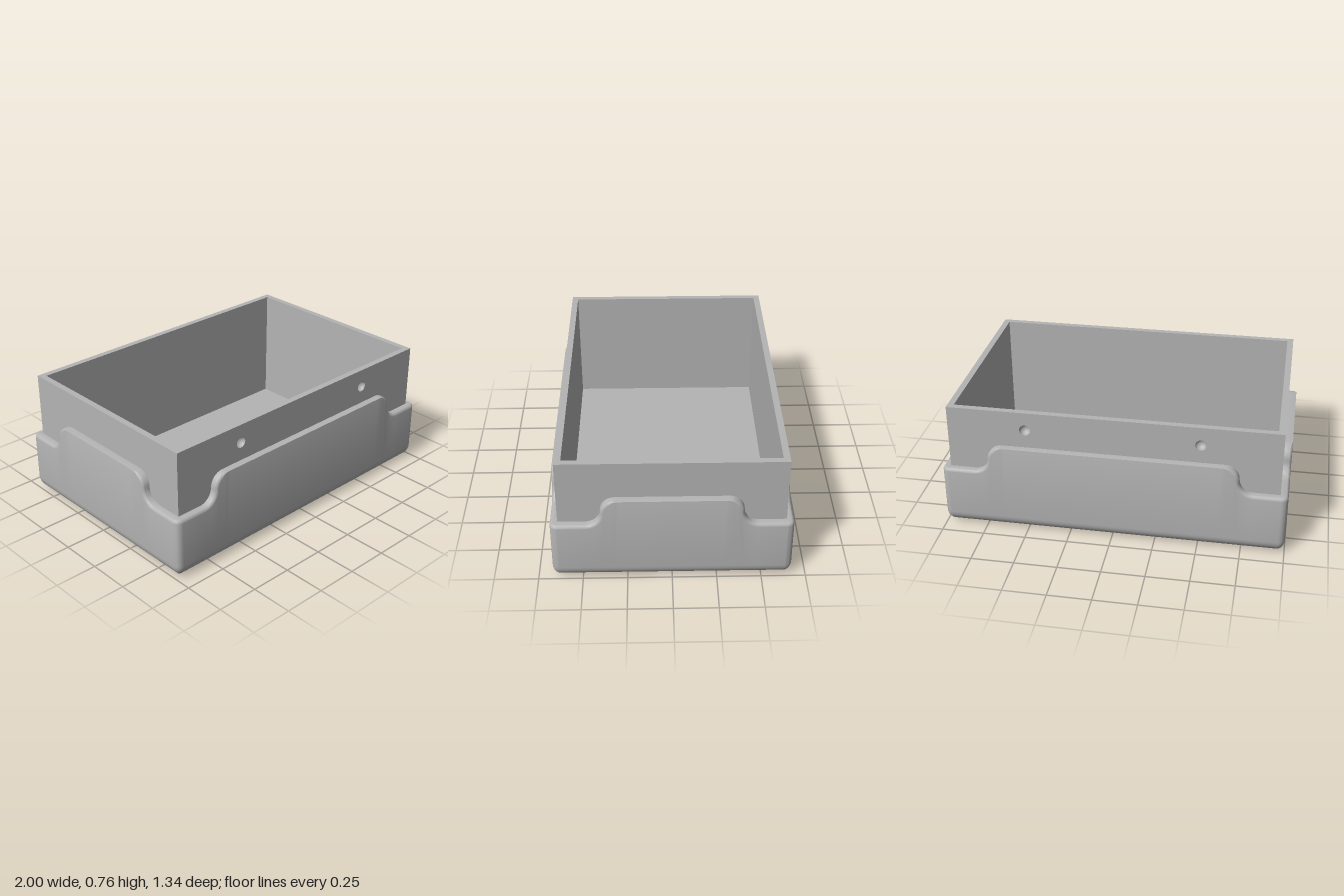
import * as THREE from 'three';
import { toCreasedNormals } from 'three/addons/utils/BufferGeometryUtils.js';

const W = 1, D = 0.67;            // half width and half depth of the outer sleeve
const LOW = 0.375, HIGH = 0.54;   // rim height at the corners and in the middle
const R = 0.04, BOTTOM = 0.08, FILLET = 0.02, LIP = 0.046;
const BW = 0.955, BD = 0.628, TOP = 0.76, WALL = 0.037, FLOOR = 0.05;

// Rim samples along one side: a flat middle with an S-curve down at both ends
function rimSamples(half) {
  const r = (HIGH - LOW) / 2, tc = half - 0.36, mid = (HIGH + LOW) / 2, n = 10;
  const right = [{ t: tc - 0.02, h: HIGH, nt: 0, nh: 1, f: 0 }];
  for (let i = 0; i <= n; i++) {
    const a = (1 - i / n) * Math.PI / 2, c = Math.cos(a), s = Math.sin(a);
    right.push({ t: tc + r * c, h: mid + r * s, nt: c, nh: s, f: FILLET * Math.min(1, 0.1 + i / 4) });
  }
  for (let i = 1; i <= n; i++) {
    const b = i / n * Math.PI / 2, c = Math.cos(b), s = Math.sin(b);
    right.push({ t: tc + 2 * r - r * c, h: mid - r * s, nt: c, nh: s, f: FILLET });
  }
  const left = right.map(p => ({ ...p, t: -p.t, nt: -p.nt })).reverse();
  return [...left, ...right];
}

// Sleeve: cross-sections from the base centre, up the wall, over the rim to the box
function sleeveGeometry() {
  const columns = [];
  for (let k = 0; k < 4; k++) {
    const L = k % 2 ? D : W;
    rimSamples(L).forEach(p => columns.push({ ...p, k }));
    for (let i = 0; i <= 6; i++) {
      columns.push({ k, angle: i / 6 * Math.PI / 2, h: LOW, nt: 0, nh: 1, f: FILLET });
    }
  }

  // Point on a column, moved inwards by inset and along the wall by shift
  const place = (c, inset, y, shift = 0) => {
    const [L, M] = c.k % 2 ? [D, W] : [W, D];
    const r = Math.max(R - inset, 0.001), end = L - inset - r;
    let u, n;
    if (c.angle === undefined) {
      u = THREE.MathUtils.clamp(c.t + shift, -end, end);
      n = M - inset;
    } else {
      u = end + r * Math.sin(c.angle);
      n = M - inset - r + r * Math.cos(c.angle);
    }
    const a = c.k * Math.PI / 2;
    return [n * Math.sin(a) + u * Math.cos(a), y, n * Math.cos(a) - u * Math.sin(a)];
  };

  const rows = [() => [0, 0, 0]];
  for (let i = 0; i <= 8; i++) {
    const a = i / 8 * Math.PI / 2;
    rows.push(c => place(c, BOTTOM * (1 - Math.sin(a)), BOTTOM * (1 - Math.cos(a))));
  }
  for (let i = 0; i <= 5; i++) {
    const a = i / 5 * Math.PI / 2;
    rows.push(c => {
      const drop = c.f * (1 - Math.sin(a));
      return place(c, c.f * (1 - Math.cos(a)), c.h - c.nh * drop, -c.nt * drop);
    });
  }
  rows.push(c => place(c, LIP, c.h));

  const positions = [], index = [], N = columns.length;
  rows.forEach(row => columns.forEach(c => positions.push(...row(c))));
  for (let j = 0; j < rows.length - 1; j++) {
    for (let i = 0; i < N; i++) {
      const a = j * N + i, b = j * N + (i + 1) % N;
      if (j > 0) index.push(a, b, b + N);
      index.push(a, b + N, a + N);
    }
  }
  const geometry = new THREE.BufferGeometry();
  geometry.setAttribute('position', new THREE.Float32BufferAttribute(positions, 3));
  geometry.setIndex(index);
  return toCreasedNormals(geometry, 0.6);
}

export function createModel() {
  const model = new THREE.Group();
  model.name = 'openBox';
  const grey = new THREE.MeshStandardMaterial({ color: 0xb4b4b4, side: THREE.DoubleSide });
  grey.name = 'grey';

  const add = (parent, name, geometry, x = 0, y = 0, z = 0) => {
    const mesh = new THREE.Mesh(geometry, grey);
    mesh.name = name;
    mesh.position.set(x, y, z);
    parent.add(mesh);
    return mesh;
  };

  add(model, 'outerSleeve', sleeveGeometry());

  // Inner box: floor and side walls
  const base = 0.03, height = TOP - base, inner = BW - WALL;
  add(model, 'boxFloor', new THREE.BoxGeometry(2 * inner, FLOOR - base, 2 * (BD - WALL)), 0, (FLOOR + base) / 2);
  for (const s of [-1, 1]) {
    add(model, s > 0 ? 'leftWall' : 'rightWall',
      new THREE.BoxGeometry(WALL, height, 2 * BD), s * (BW - WALL / 2), base + height / 2);
  }

  // Front and back walls with two round dimples each
  const holeR = 0.032, liner = 0.004;
  const shape = new THREE.Shape([
    new THREE.Vector2(-inner, base), new THREE.Vector2(inner, base),
    new THREE.Vector2(inner, TOP), new THREE.Vector2(-inner, TOP),
  ]);
  for (const x of [-0.5, 0.5]) {
    shape.holes.push(new THREE.Path().absarc(x, 0.65, holeR, 0, Math.PI * 2, true));
  }
  const wallGeometry = new THREE.ExtrudeGeometry(shape, { depth: WALL - liner, bevelEnabled: false, curveSegments: 24 });
  const linerGeometry = new THREE.BoxGeometry(2 * inner, height, liner);
  const dimpleGeometry = new THREE.SphereGeometry(holeR, 24, 10, 0, Math.PI * 2, 0, Math.PI / 2).rotateX(-Math.PI / 2);
  for (const s of [1, -1]) {
    const wall = new THREE.Group();
    wall.name = s > 0 ? 'frontWall' : 'backWall';
    wall.rotation.y = s > 0 ? 0 : Math.PI;
    add(wall, 'wallPanel', wallGeometry, 0, 0, BD - WALL + liner);
    add(wall, 'wallLiner', linerGeometry, 0, base + height / 2, BD - WALL + liner / 2);
    for (const x of [-0.5, 0.5]) add(wall, 'dimple', dimpleGeometry, x, 0.65, BD);
    model.add(wall);
  }
  return model;
}
